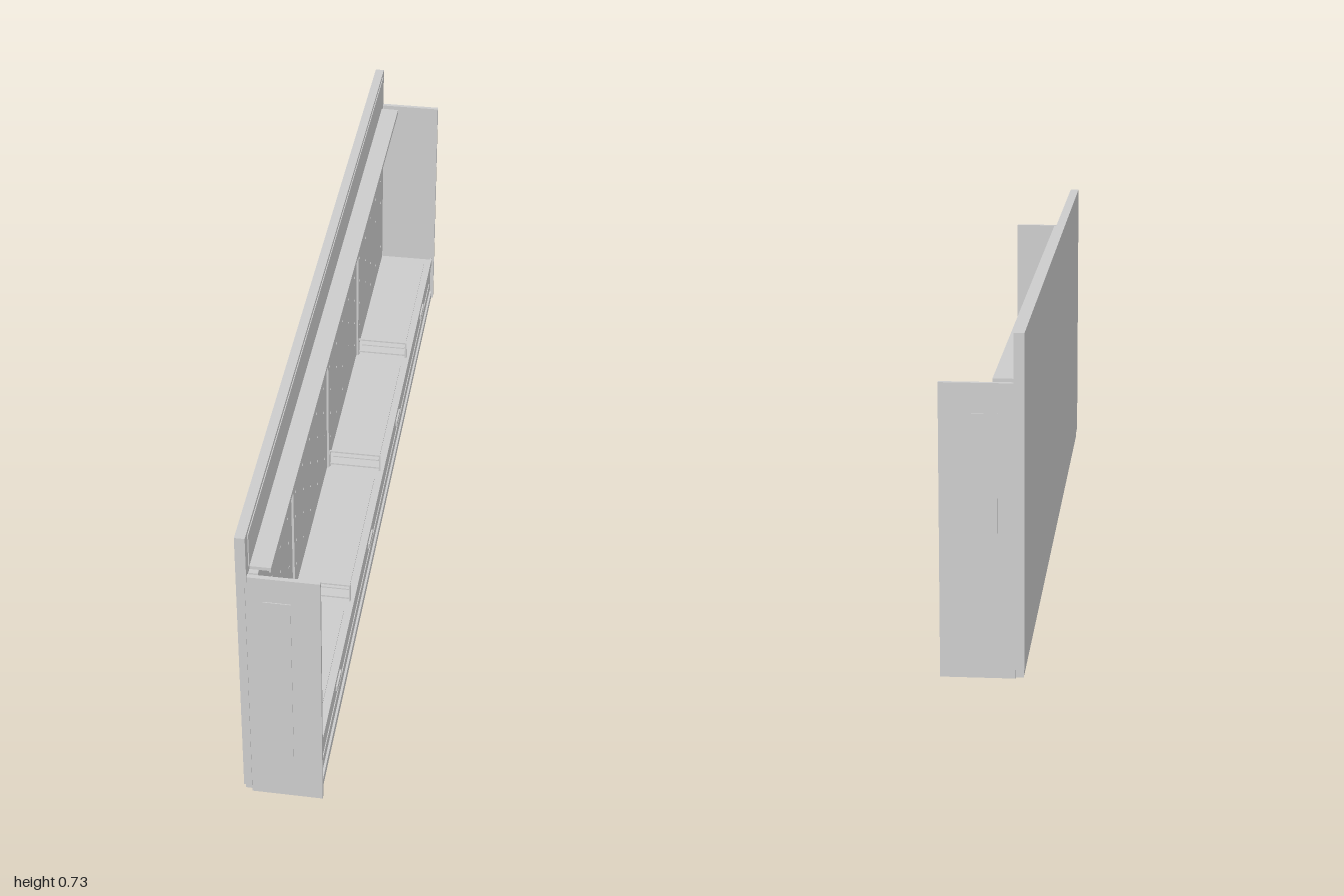
import * as THREE from 'three';

export function createModel() {
  const root = new THREE.Group();
  root.name = 'wallDisplayShelf';
  const mat = new THREE.MeshStandardMaterial({ color: 0xcccccc });
  mat.name = 'light grey metal';

  // Box given by its extents
  function slab(name, x0, x1, y0, y1, z0, z1, parent = root) {
    const m = new THREE.Mesh(new THREE.BoxGeometry(x1 - x0, y1 - y0, z1 - z0), mat);
    m.position.set((x0 + x1) / 2, (y0 + y1) / 2, (z0 + z1) / 2);
    m.name = name;
    parent.add(m);
    return m;
  }

  // Back wall and header
  slab('backPanel', -0.087, -0.069, 0.02, 0.725, -1, 1);
  slab('headerBoard', -0.07, -0.065, 0.61, 0.725, -1, 1);
  slab('headerPlate', -0.065, -0.063, 0.632, 0.715, -0.975, 0.975);

  // Perforated inner back, one panel per bay
  for (let bay = 0; bay < 4; bay++) {
    const w = 0.4975, h = 0.485;
    const shape = new THREE.Shape();
    shape.moveTo(-w / 2, 0);
    shape.lineTo(w / 2, 0);
    shape.lineTo(w / 2, h);
    shape.lineTo(-w / 2, h);
    shape.closePath();
    for (let c = 0; c < 5; c++) {
      for (let r = 0; r < 6; r++) {
        const hole = new THREE.Path();
        hole.absarc((c - 2) * 0.1, 0.06 + r * 0.072, 0.004, 0, Math.PI * 2, true);
        shape.holes.push(hole);
      }
    }
    const geo = new THREE.ExtrudeGeometry(shape, { depth: 0.004, bevelEnabled: false, curveSegments: 6 });
    geo.rotateY(Math.PI / 2);
    const panel = new THREE.Mesh(geo, mat);
    panel.name = 'pegPanel';
    panel.position.set(-0.067, 0.13, (bay - 1.5) * 0.4975);
    root.add(panel);
  }

  // Uprights between the bays
  for (const z of [-0.495, 0, 0.495]) {
    slab('upright', -0.065, -0.058, 0.13, 0.615, z - 0.007, z + 0.007);
  }

  // Canopy with a small front lip and end brackets
  slab('canopy', -0.065, -0.02, 0.616, 0.624, -0.965, 0.965);
  slab('canopyLip', -0.024, -0.02, 0.612, 0.618, -0.965, 0.965);
  for (const s of [-1, 1]) {
    slab('canopyBracket', -0.065, -0.045, 0.595, 0.617, s * 0.972 - 0.006, s * 0.972 + 0.006);
  }

  // End walls with a thin cover plate outside
  for (const s of [-1, 1]) {
    slab('endWall', -0.069, 0.087, 0, 0.622, s * 0.993 - 0.005, s * 0.993 + 0.005);
    slab('endCoverPlate', -0.033, 0.025, 0.08, 0.56, s * 0.999 - 0.001, s * 0.999 + 0.001);
  }

  // Base box, deck and layered front
  slab('plinth', -0.085, 0.082, 0, 0.022, -0.99, 0.99);
  slab('baseBox', -0.069, 0.074, 0.02, 0.122, -0.988, 0.988);
  slab('deck', -0.066, 0.08, 0.122, 0.131, -0.988, 0.988);
  slab('deckLip', 0.077, 0.081, 0.115, 0.137, -0.988, 0.988);
  slab('frontPanel', 0.074, 0.078, 0.03, 0.112, -0.985, 0.985);
  slab('frontStrip', 0.078, 0.08, 0.045, 0.072, -0.95, 0.95);

  // Deck mats and front clips
  for (const z of [-0.745, -0.248, 0.248, 0.745]) {
    slab('deckMat', -0.055, 0.062, 0.131, 0.134, z - 0.21, z + 0.21);
    slab('frontClip', 0.08, 0.085, 0.108, 0.122, z - 0.028, z + 0.028);
  }

  // Wire dividers standing on the deck
  for (const z of [-0.495, 0, 0.495]) {
    const divider = new THREE.Group();
    divider.name = 'wireDivider';
    const t = 0.002;
    slab('topWire', -0.06, 0.072, 0.176, 0.18, z - t, z + t, divider);
    slab('bottomWire', -0.06, 0.072, 0.138, 0.142, z - t, z + t, divider);
    slab('frontWire', 0.068, 0.072, 0.131, 0.18, z - t, z + t, divider);
    slab('rearWire', -0.06, -0.056, 0.131, 0.18, z - t, z + t, divider);
    root.add(divider);
  }

  return root;
}
